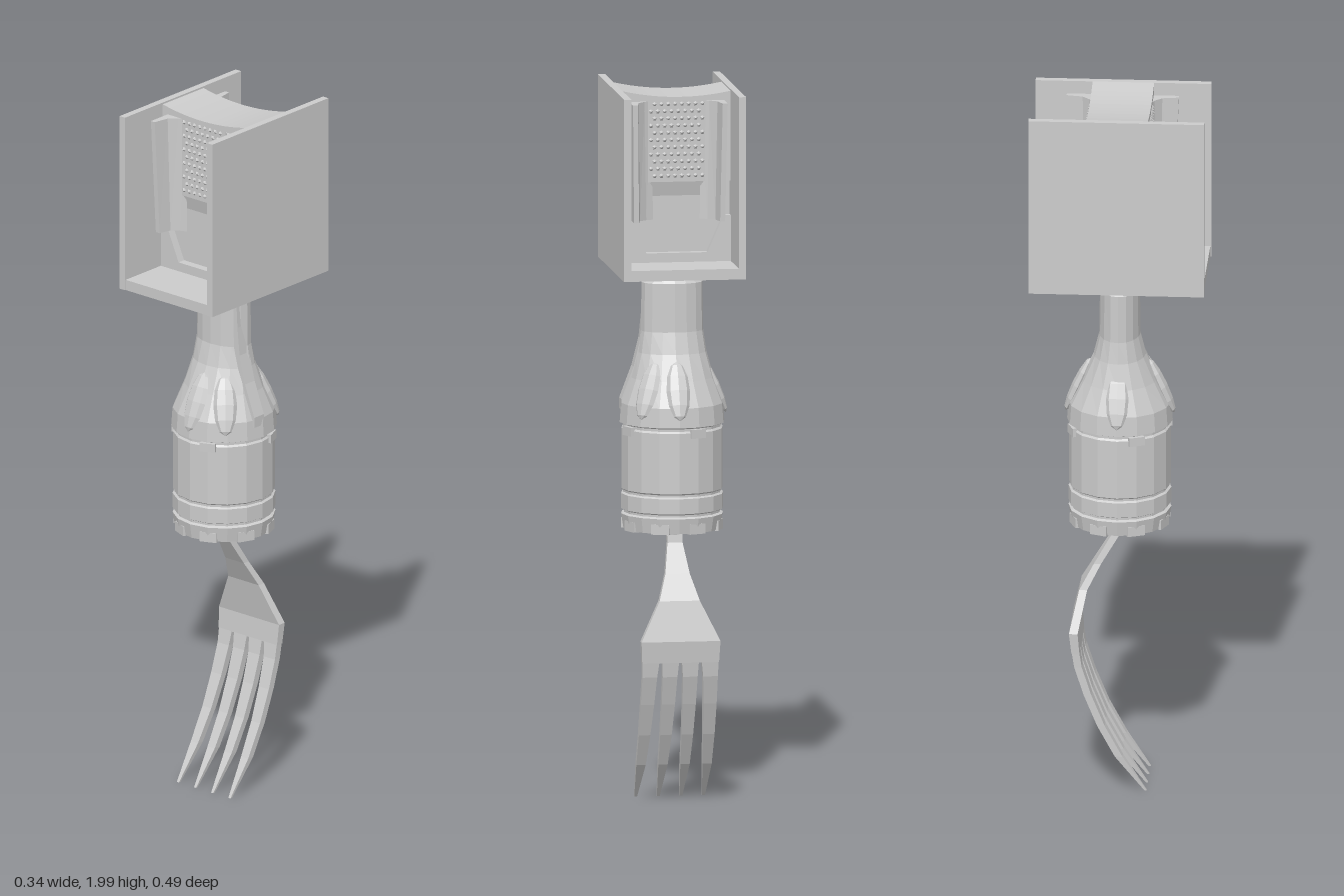
import * as THREE from 'three';
import { mergeGeometries } from 'three/addons/utils/BufferGeometryUtils.js';

const material = new THREE.MeshStandardMaterial({ color: 0xcccccc, flatShading: true, side: THREE.DoubleSide });

function add(parent, name, geometry, x = 0, y = 0, z = 0) {
  const mesh = new THREE.Mesh(geometry, material);
  mesh.name = name;
  mesh.position.set(x, y, z);
  parent.add(mesh);
  return mesh;
}

function polygon(points) {
  return new THREE.Shape(points.map(([x, y]) => new THREE.Vector2(x, y)));
}

const extrude = (shape, depth) => new THREE.ExtrudeGeometry(shape, { depth, bevelEnabled: false });

// Rectangular sections [y, z, centre x, half width, thickness], joined top to bottom
function loft(sections) {
  const positions = [], index = [];
  for (const [y, z, x, w, t] of sections) {
    positions.push(x - w, y, z + t / 2, x + w, y, z + t / 2, x + w, y, z - t / 2, x - w, y, z - t / 2);
  }
  for (let i = 0; i < sections.length - 1; i++) {
    for (let k = 0; k < 4; k++) {
      const a = i * 4 + k, b = i * 4 + (k + 1) % 4;
      index.push(a, a + 4, b, b, a + 4, b + 4);
    }
  }
  const e = (sections.length - 1) * 4;
  index.push(0, 1, 2, 0, 2, 3, e, e + 2, e + 1, e, e + 3, e + 2);
  const geometry = new THREE.BufferGeometry();
  geometry.setAttribute('position', new THREE.Float32BufferAttribute(positions, 3));
  geometry.setIndex(index);
  geometry.computeVertexNormals();
  return geometry;
}

function makeHead() {
  const head = new THREE.Group();
  head.name = 'head';
  add(head, 'floorPlate', new THREE.BoxGeometry(0.32, 0.03, 0.48), 0, 1.507, 0);
  for (const s of [-1, 1]) {
    add(head, 'sidePanel', new THREE.BoxGeometry(0.02, 0.508, 0.485), s * 0.16, 1.746, 0);
  }

  // Central wall: lower part set back, upper part with a gently sagging top
  add(head, 'lowerWall', new THREE.BoxGeometry(0.3, 0.25, 0.14), 0, 1.63, 0);
  const upper = polygon([[-0.15, 1.745], [0.15, 1.745], [0.15, 2]]);
  upper.quadraticCurveTo(0, 1.965, -0.15, 1.995);
  add(head, 'upperWall', extrude(upper, 0.17), 0, 0, -0.085);

  const rail = polygon([[0.07, 0.08], [0.09, 0.09], [0.11, 0.11], [0.118, 0.155], [0.132, 0.155], [0.132, 0.08]]);
  const surround = polygon([[-0.15, 1.52], [0.15, 1.52], [0.15, 1.65], [0.13, 1.65],
    [0.085, 1.548], [-0.085, 1.548], [-0.13, 1.65], [-0.15, 1.65]]);
  const bumps = [];
  for (const side of [1, -1]) {
    const face = new THREE.Group();
    face.name = side > 0 ? 'frontFace' : 'backFace';
    face.rotation.y = side > 0 ? 0 : Math.PI;
    head.add(face);
    add(face, 'openingSurround', extrude(surround, 0.025), 0, 0, 0.068);
    // Sloping underside of the rough panel
    const lip = loft([[1.75, 0.078, 0, 0.11, 0.014], [1.705, 0.071, 0, 0.1, 0.004]]);
    add(face, 'panelLip', lip);
    // Flared guide rails, narrowed towards the bottom
    for (const s of [-1, 1]) {
      const g = extrude(rail, 0.33).rotateX(Math.PI / 2).translate(0, 1.97, 0);
      const p = g.attributes.position;
      for (let i = 0; i < p.count; i++) {
        if (p.getY(i) < 1.8) {
          p.setX(i, p.getX(i) - 0.005);
          p.setZ(i, 0.08 + (p.getZ(i) - 0.08) * 0.8);
        }
      }
      const mesh = add(face, 'guideRail', g);
      mesh.scale.x = s;
    }
    // Staggered rows of rough teeth
    for (let row = 0; row < 11; row++) {
      for (let col = 0; col < 8; col++) {
        const x = (col - 3.5) * 0.019 + (row % 2 ? 0.005 : -0.005);
        const tooth = new THREE.ConeGeometry(0.007, 0.007, 5);
        tooth.rotateX(side * Math.PI / 2).translate(x, 1.762 + row * 0.02, side * 0.088);
        bumps.push(tooth);
      }
    }
  }
  add(head, 'roughTeeth', mergeGeometries(bumps));
  return head;
}

function makeHandle() {
  const handle = new THREE.Group();
  handle.name = 'handle';
  // Round barrel with grooves, shoulder, and a neck flattened in depth
  const profile = [[0, 0.785], [0.1, 0.785], [0.115, 0.77], [0.135, 0.77], [0.142, 0.812], [0.134, 0.816], [0.134, 0.822],
    [0.142, 0.826], [0.142, 0.868], [0.136, 0.872], [0.136, 0.878], [0.141, 0.882], [0.141, 1.05], [0.136, 1.055],
    [0.136, 1.062], [0.146, 1.066], [0.142, 1.12], [0.115, 1.19], [0.096, 1.26], [0.087, 1.32], [0.085, 1.455], [0.06, 1.48], [0, 1.48]];
  const body = new THREE.LatheGeometry(profile.map(([x, y]) => new THREE.Vector2(x, y)), 16);
  const p = body.attributes.position;
  for (let i = 0; i < p.count; i++) {
    const flat = THREE.MathUtils.smoothstep(p.getY(i), 1.12, 1.34);
    p.setZ(i, p.getZ(i) * (1 - 0.35 * flat));
  }
  add(handle, 'barrel', body);
  add(handle, 'neckCollar', new THREE.CylinderGeometry(0.1, 0.06, 0.035, 8), 0, 1.478, 0).scale.z = 0.8;

  // Raised lever along the left side
  const lever = polygon([[0.05, 1.46], [0.076, 1.455], [0.08, 1.38], [0.088, 1.3], [0.108, 1.22],
    [0.142, 1.13], [0.142, 1.1], [0.1, 1.1], [0.06, 1.3]]);
  add(handle, 'lever', extrude(lever, 0.04), 0, 0, -0.005);

  // Teardrop bosses on the shoulder
  for (const angle of [0, Math.PI, -Math.PI / 2, 0.75, -0.75 + Math.PI]) {
    const pivot = new THREE.Group();
    pivot.name = 'shoulderBoss';
    pivot.rotation.y = angle;
    handle.add(pivot);
    const boss = add(pivot, 'teardrop', new THREE.SphereGeometry(1, 8, 6), 0, 1.165, 0.116);
    boss.scale.set(0.033, 0.085, 0.016);
    boss.rotation.x = -0.42;
  }

  // Small clips at the seam and feet at the base
  for (let i = 0; i < 8; i++) {
    const pivot = new THREE.Group();
    pivot.name = 'rimDetail';
    pivot.rotation.y = (i + 0.5) * Math.PI / 4;
    handle.add(pivot);
    if (i % 2 === 0) add(pivot, 'clip', new THREE.BoxGeometry(0.045, 0.025, 0.012), 0, 1.048, 0.139);
    add(pivot, 'foot', new THREE.BoxGeometry(0.05, 0.028, 0.02), 0, 0.782, 0.128);
  }
  add(handle, 'forkSocket', new THREE.CylinderGeometry(0.04, 0.025, 0.035, 8), 0, 0.77, 0);
  return handle;
}

function makeFork() {
  const fork = new THREE.Group();
  fork.name = 'fork';
  // Bowed blade
  add(fork, 'blade', loft([[0.785, 0, -0.005, 0.022, 0.03], [0.73, -0.012, -0.005, 0.021, 0.022],
    [0.65, -0.06, -0.005, 0.034, 0.02], [0.58, -0.098, -0.005, 0.056, 0.022],
    [0.47, -0.122, -0.005, 0.11, 0.024], [0.41, -0.116, -0.005, 0.107, 0.022]]));
  // Four tapering, curved tines
  for (let i = 0; i < 4; i++) {
    const top = -0.087 + i * 0.0547, tip = -0.099 + i * 0.063;
    const rows = [[0.42, -0.117, 0.024], [0.37, -0.109, 0.0205], [0.29, -0.083, 0.0185],
      [0.2, -0.046, 0.016], [0.11, 0.003, 0.013], [0.01, 0.077, 0.004]];
    add(fork, 'tine', loft(rows.map(([y, z, w], k) =>
      [y, z, top + (tip - top) * k / 5, w, k === 5 ? 0.006 : 0.021])));
  }
  return fork;
}

export function createModel() {
  const model = new THREE.Group();
  model.name = 'forkWithBoxHead';
  model.add(makeHead(), makeHandle(), makeFork());
  const box = new THREE.Box3().setFromObject(model);
  model.position.y = -box.min.y;
  return model;
}
